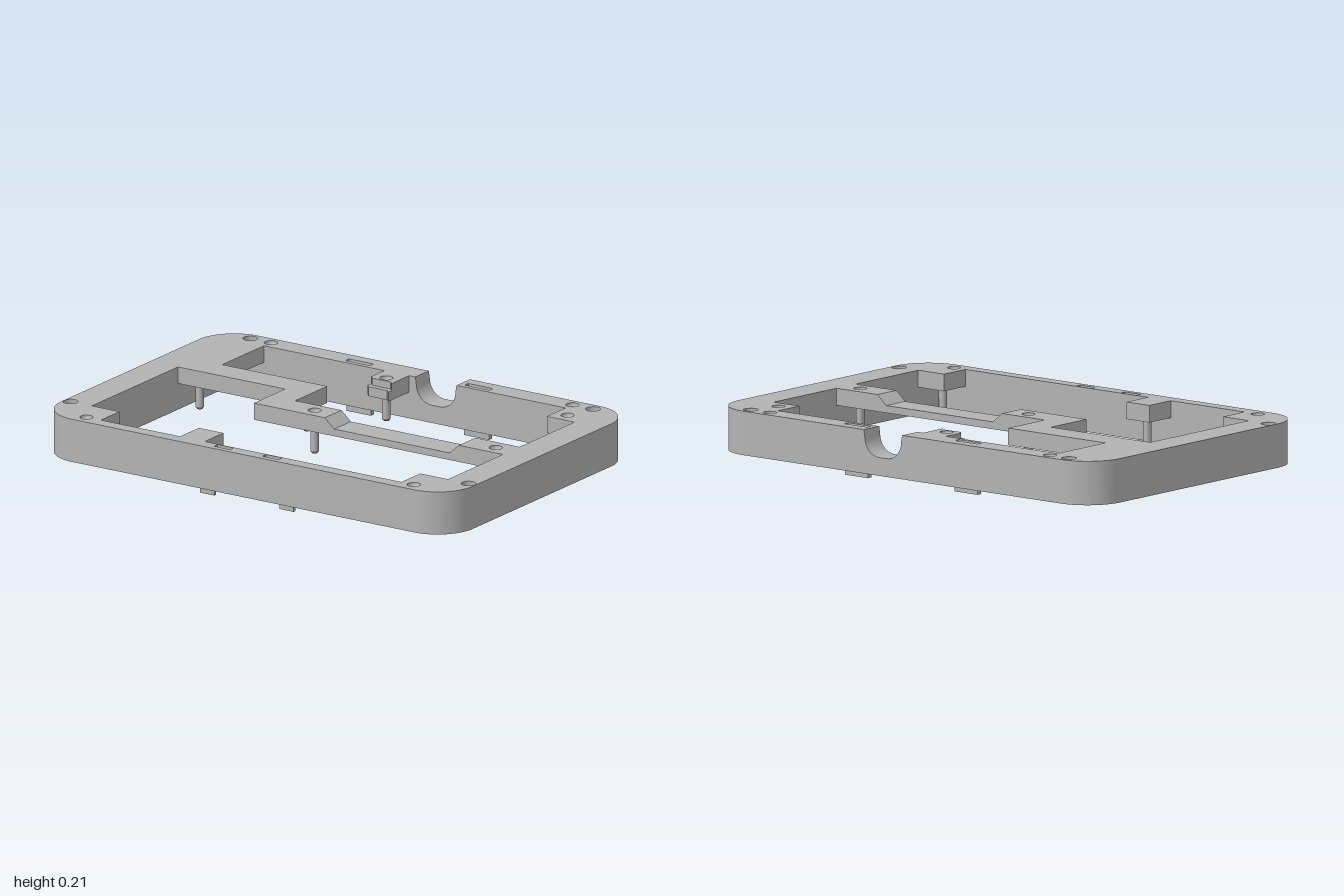
import * as THREE from 'three';
import { toCreasedNormals } from 'three/addons/utils/BufferGeometryUtils.js';

const X = 1, Z = 0.667, R = 0.17;      // outer half sizes and corner radius
const TOP = 0.21, SEAT = 0.18, PLATE = 0.14, BASE = 0.03;
const screws = [[-0.835, -0.62], [0.83, -0.62], [-0.968, 0.475], [0.965, 0.475]];
const dimples = [[-0.735, -0.62], [0.73, -0.62], [-0.8, 0.61], [0.79, 0.61],
  [-0.09, -0.495], [0.79, -0.495], [-0.09, 0.02], [0.79, 0.02]];
const pins = [[-0.09, -0.495], [0.79, -0.495], [-0.09, 0.02], [0.79, 0.02], [-0.28, 0.54],
  [-0.8, 0.54], [0.79, 0.54], [-0.8, -0.5], [-0.8, -0.205], [-0.28, -0.205]];
// slots: x, z, width, depth
const slots = [[-0.295, -0.605, 0.12, 0.026], [0.285, -0.605, 0.12, 0.026],
  [-0.12, 0.628, 0.08, 0.026], [0.115, 0.628, 0.08, 0.026]];
const clips = [[-0.288, -0.6, 0.12, 0.022], [0.285, -0.6, 0.12, 0.022],
  [-0.195, 0.631, 0.07, 0.012], [0.19, 0.631, 0.07, 0.012]];

// Plan outline in (x, z), open at the cable notch in the back wall
function outline(inner) {
  const s = new THREE.Shape();
  s.moveTo(0.2, -Z);
  s.lineTo(X - R, -Z);
  s.absarc(X - R, -Z + R, R, -Math.PI / 2, 0, false);
  s.absarc(X - R, Z - R, R, 0, Math.PI / 2, false);
  s.absarc(-X + R, Z - R, R, Math.PI / 2, Math.PI, false);
  s.absarc(-X + R, -Z + R, R, Math.PI, Math.PI * 1.5, false);
  s.lineTo(0, -Z);
  for (const [x, z] of inner) s.lineTo(x, z);
  return s;
}

const wallInner = [[0, -0.57], [-0.865, -0.57], [-0.865, 0.61], [0.865, 0.61], [0.865, -0.57], [0.2, -0.57]];

// Inner edge with corner seats, back tab and arms of the stepped crossbar
const plateInner = (tab) => [[0, -0.57], [-0.03, -0.57], [-0.03, tab + 0.015], [-0.045, tab],
  [-0.135, tab], [-0.15, tab + -0.015], [-0.15, -0.57], [-0.735, -0.57], [-0.735, -0.27],
  [-0.225, -0.27], [-0.225, -0.04], [0, -0.04], [0, 0.08], [-0.345, 0.08], [-0.345, -0.145],
  [-0.865, -0.145], [-0.865, 0.475], [-0.73, 0.475], [-0.73, 0.61], [-0.345, 0.61],
  [-0.345, 0.475], [-0.225, 0.475], [-0.225, 0.61], [0.73, 0.61], [0.73, 0.475],
  [0.865, 0.475], [0.865, 0.08], [0.65, 0.08], [0.65, -0.04], [0.865, -0.04],
  [0.865, -0.435], [0.73, -0.435], [0.73, -0.57], [0.2, -0.57]];

function addHoles(shape, points, r) {
  for (const [x, z] of points) {
    const h = new THREE.Path();
    h.absarc(x, z, r, 0, Math.PI * 2, true);
    shape.holes.push(h);
  }
}

export function createModel() {
  const group = new THREE.Group();
  const grey = new THREE.MeshStandardMaterial({ color: 0xb3b3b3, side: THREE.DoubleSide });
  grey.name = 'grey plastic';

  const add = (name, geo, x = 0, y = 0, z = 0) => {
    const m = new THREE.Mesh(geo, grey);
    m.name = name;
    m.position.set(x, y, z);
    group.add(m);
    return m;
  };
  const extrude = (shape, depth) => toCreasedNormals(
    new THREE.ExtrudeGeometry(shape, { depth, bevelEnabled: false, curveSegments: 14 }), 0.5);
  const layer = (name, shape, low, high) =>
    add(name, extrude(shape, high - low).rotateX(Math.PI / 2), 0, high, 0);

  // Outer wall
  const wall = outline(wallInner);
  addHoles(wall, screws, 0.02);
  layer('outerWall', wall, BASE, PLATE);

  // Plate with crossbar arms and seats
  const plate = outline(plateInner(-0.435));
  addHoles(plate, screws, 0.02);
  layer('plate', plate, PLATE, SEAT);

  // Top face with counterbores, dimples and slots
  const top = outline(plateInner(-0.46));
  addHoles(top, screws, 0.03);
  addHoles(top, dimples, 0.027);
  for (const [x, z, w, d] of slots) {
    const h = new THREE.Path();
    h.moveTo(x - w / 2, z - d / 2);
    h.lineTo(x - w / 2, z + d / 2);
    h.lineTo(x + w / 2, z + d / 2);
    h.lineTo(x + w / 2, z - d / 2);
    h.closePath();
    top.holes.push(h);
  }
  layer('topFace', top, SEAT, TOP);

  // Rounded dimple cups
  for (const [x, z] of dimples) {
    add('dimple', new THREE.SphereGeometry(0.027, 16, 6, 0, Math.PI * 2, Math.PI / 2, Math.PI / 2), x, TOP, z);
  }

  // Lowered middle of the crossbar, with sloped ends
  const bar = new THREE.Shape([[0, PLATE], [0.65, PLATE], [0.65, TOP], [0.605, 0.17], [0.045, 0.17], [0, TOP]]
    .map(([x, y]) => new THREE.Vector2(x, y)));
  add('crossbarDip', extrude(bar, 0.12), 0, 0, -0.04);

  // Round cable notch in the back wall
  const notch = new THREE.Shape();
  notch.moveTo(0, BASE);
  notch.lineTo(0.2, BASE);
  notch.lineTo(0.2, TOP);
  notch.lineTo(0.195, 0.18);
  notch.absarc(0.12, 0.18, 0.075, 0, -Math.PI / 2, true);
  notch.absarc(0.08, 0.18, 0.075, -Math.PI / 2, -Math.PI, true);
  notch.lineTo(0, TOP);
  add('cableNotch', extrude(notch, Z - 0.57), 0, 0, -Z);

  // Locating pins under the plate, with blunt tapered tips
  const pinProfile = [[0, 0], [0.011, 0], [0.017, 0.008], [0.017, 0.112]]
    .map(([r, y]) => new THREE.Vector2(r, y));
  const pinGeo = toCreasedNormals(new THREE.LatheGeometry(pinProfile, 16), 0.5);
  for (const [x, z] of pins) add('pin', pinGeo, x, BASE, z);

  // Clips under the wall
  for (const [x, z, w, d] of clips) add('clip', new THREE.BoxGeometry(w, BASE, d), x, BASE / 2, z);

  return group;
}
